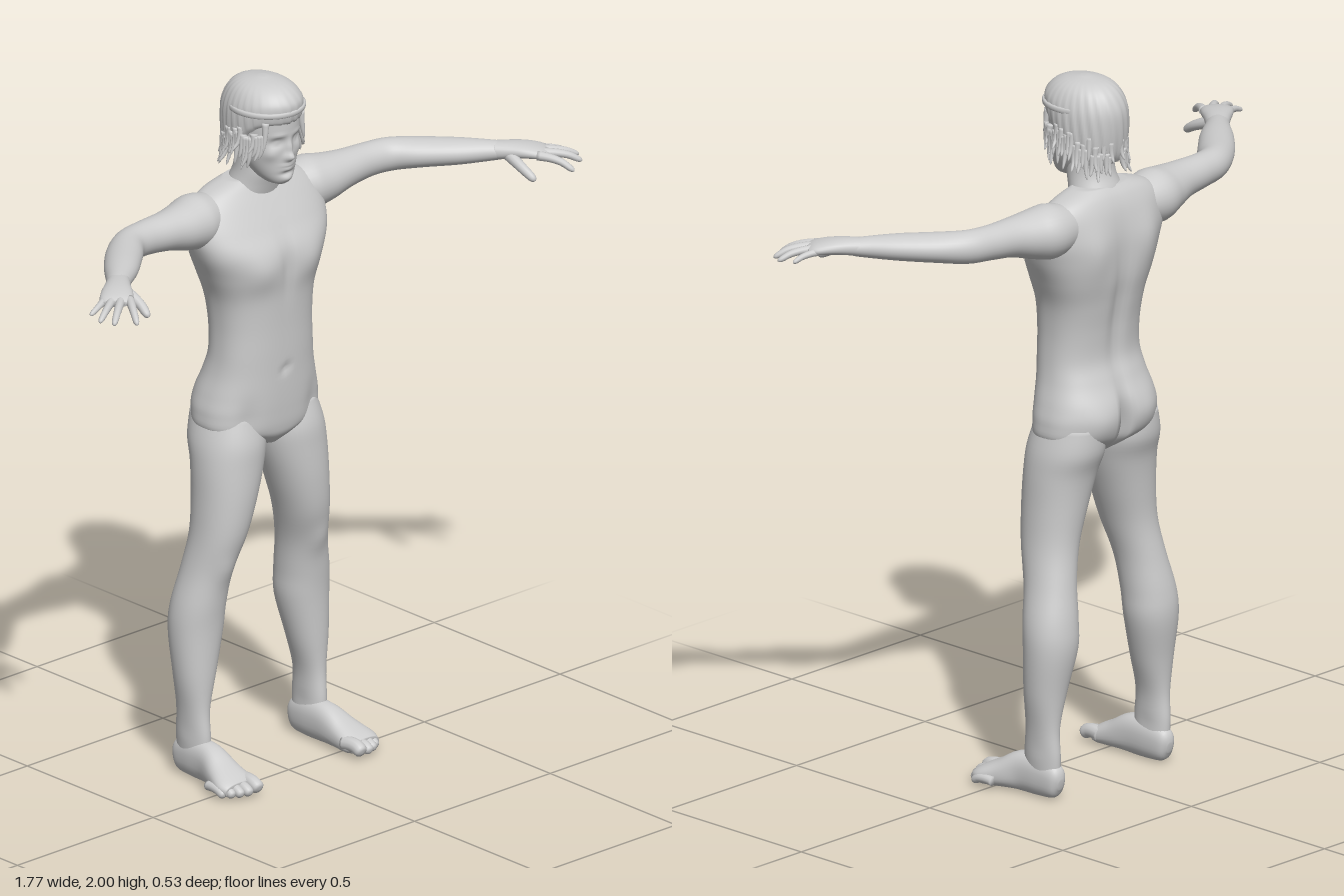
import * as THREE from 'three';

const skin = new THREE.MeshStandardMaterial({ color: 0xcccccc });
skin.name = 'light grey';
const V = (x, y, z) => new THREE.Vector3(x, y, z);
const mix = (a, b, c, d, t) => 0.5 * (2 * b + (c - a) * t + (2 * a - 5 * b + 4 * c - d) * t * t + (3 * b - a - 3 * c + d) * t ** 3);

// Soft swellings and hollows [x,y,z, spread x,y,z, push x,y,z]; those off the middle are mirrored
function bump(p, list) {
  const add = V(0, 0, 0);
  for (const [x, y, z, sx, sy, sz, dx, dy, dz] of list) for (const s of x ? [1, -1] : [1]) {
    const f = Math.exp(-(((p.x - s * x) / sx) ** 2 + ((p.y - y) / sy) ** 2 + ((p.z - z) / sz) ** 2));
    add.add(V(s * dx * f, dy * f, dz * f));
  }
  return p.add(add);
}

// Smooth closed skin over cross-sections [x, y, z, half width, half height].
// level: horizontal sections going up; otherwise sections lie across the path.
function loft(rows, { seg = 24, steps = 5, e = 1, level = false, deform = null } = {}) {
  const at = (i) => rows[Math.max(0, Math.min(rows.length - 1, i))];
  const rings = [];
  for (let k = 0; k <= (rows.length - 1) * steps; k++) {
    const i = Math.floor(k / steps), t = (k % steps) / steps;
    rings.push(at(i).map((_, c) => mix(at(i - 1)[c], at(i)[c], at(i + 1)[c], at(i + 2)[c], t)));
  }
  const pos = [], idx = [], n = rings.length;
  const put = (p) => { if (deform) deform(p); pos.push(p.x, p.y, p.z); };
  const pw = (c) => Math.sign(c) * Math.abs(c) ** e;
  rings.forEach((r, k) => {
    const a = rings[Math.max(0, k - 1)], b = rings[Math.min(n - 1, k + 1)];
    let u = V(1, 0, 0), v = V(0, 0, -1);
    if (!level) {
      const t = V(b[0] - a[0], b[1] - a[1], b[2] - a[2]).normalize();
      u = V(0, 1, 0).cross(t).normalize();
      v = t.clone().cross(u);
    }
    for (let j = 0; j < seg; j++) {
      const w = (j / seg) * Math.PI * 2;
      put(V(r[0], r[1], r[2]).addScaledVector(u, r[3] * pw(Math.cos(w))).addScaledVector(v, r[4] * pw(Math.sin(w))));
      if (k < n - 1) {
        const p = k * seg + j, q = k * seg + (j + 1) % seg;
        idx.push(p, q, q + seg, p, q + seg, p + seg);
      }
    }
  });
  const c0 = n * seg, last = (n - 1) * seg;
  put(V(...rings[0].slice(0, 3)));
  put(V(...rings[n - 1].slice(0, 3)));
  for (let j = 0; j < seg; j++) {
    const q = (j + 1) % seg;
    idx.push(c0, q, j, c0 + 1, last + j, last + q);
  }
  const g = new THREE.BufferGeometry();
  g.setAttribute('position', new THREE.Float32BufferAttribute(pos, 3));
  g.setIndex(idx);
  g.computeVertexNormals();
  return g;
}

// Level sections from edges
const centred = (rows) => rows.map(([y, w, f, b]) => [0, y, (f + b) / 2, w, (f - b) / 2]);
const sided = (rows) => rows.map(([y, i, o, f, b]) => [(i + o) / 2, y, (f + b) / 2, (o - i) / 2, (f - b) / 2]);

// Tapered digit with a rounded tip
function digit(points, r0, r1) {
  const c = new THREE.CatmullRomCurve3(points.map((p) => V(...p)));
  return loft([[0, 1], [0.3, 0.97], [0.6, 0.95], [0.85, 0.9], [0.96, 0.62], [1, 0.1]].map(([t, k]) => {
    const p = c.getPoint(t), r = (r0 + (r1 - r0) * t) * k;
    return [p.x, p.y, p.z, r, r];
  }), { seg: 12, steps: 3 });
}

export function createModel() {
  const model = new THREE.Group();
  const add = (name, g) => {
    const m = new THREE.Mesh(g, skin);
    m.name = name;
    model.add(m);
  };
  const pair = (name, g) => {
    add('left' + name, g);
    const h = g.clone().scale(-1, 1, 1), ix = h.index.array;
    for (let i = 0; i < ix.length; i += 3) [ix[i], ix[i + 1]] = [ix[i + 1], ix[i]];
    h.computeVertexNormals();
    add('right' + name, h);
  };

  // Torso with chest, shoulder blades, spine groove and seat
  const torsoForm = [
    [0.09, 1.47, 0, 0.06, 0.05, 0.08, 0, 0, 0.012], [0, 1.48, 0, 0.018, 0.08, 0.07, 0, 0, -0.009],
    [0, 1.36, -0.24, 0.025, 0.2, 0.06, 0, 0, 0.016], [0.1, 1.54, -0.25, 0.05, 0.08, 0.06, 0, 0, -0.014],
    [0, 1.03, -0.26, 0.014, 0.08, 0.06, 0, 0, 0.045], [0.09, 1.05, -0.26, 0.06, 0.06, 0.06, 0, 0, -0.012],
    [0, 1.17, -0.01, 0.012, 0.014, 0.03, 0, 0, -0.008], [0.12, 1.03, -0.02, 0.03, 0.06, 0.05, 0, 0, -0.008],
  ];
  add('torso', loft(centred([
    [0.94, 0.03, -0.06, -0.17], [0.97, 0.1, -0.03, -0.215], [1.0, 0.185, -0.02, -0.245], [1.05, 0.193, -0.015, -0.258],
    [1.1, 0.182, -0.012, -0.255], [1.16, 0.165, -0.01, -0.234], [1.22, 0.156, -0.008, -0.217], [1.3, 0.153, -0.006, -0.222],
    [1.38, 0.161, -0.002, -0.236], [1.45, 0.186, 0.003, -0.248], [1.52, 0.216, 0, -0.25], [1.58, 0.23, -0.03, -0.247],
    [1.64, 0.215, -0.065, -0.236], [1.68, 0.165, -0.09, -0.22], [1.705, 0.085, -0.105, -0.2],
  ]), { seg: 80, steps: 6, e: 0.84, level: true, deform: (p) => bump(p, torsoForm) }));
  add('neck', loft(centred([
    [1.63, 0.1, -0.09, -0.225], [1.69, 0.077, -0.07, -0.208], [1.74, 0.065, -0.055, -0.19], [1.81, 0.062, -0.06, -0.185],
  ]), { level: true, seg: 32 }));

  // Legs
  const legForm = [[0.172, 0.61, -0.06, 0.035, 0.04, 0.04, 0, 0, 0.008], [0.215, 0.11, -0.15, 0.06, 0.025, 0.03, 0.003, 0, 0]];
  pair('Leg', loft(sided([
    [0.05, 0.18, 0.243, -0.09, -0.205], [0.12, 0.182, 0.245, -0.088, -0.208], [0.2, 0.178, 0.25, -0.095, -0.203],
    [0.3, 0.15, 0.264, -0.092, -0.212], [0.42, 0.12, 0.271, -0.088, -0.232], [0.5, 0.115, 0.265, -0.08, -0.229],
    [0.6, 0.106, 0.241, -0.064, -0.212], [0.7, 0.08, 0.225, -0.034, -0.2], [0.8, 0.048, 0.218, -0.022, -0.206],
    [0.9, 0.018, 0.214, -0.02, -0.22], [0.97, 0.008, 0.206, -0.022, -0.243], [1.04, 0.025, 0.185, -0.04, -0.245],
  ]), { seg: 40, e: 0.95, level: true, deform: (p) => bump(p, legForm) }));

  // Feet and toes
  pair('Foot', loft([
    [0.212, 0.045, -0.215, 0.01, 0.014], [0.212, 0.048, -0.2, 0.028, 0.044], [0.212, 0.056, -0.15, 0.036, 0.056],
    [0.214, 0.056, -0.08, 0.04, 0.056], [0.222, 0.041, -0.02, 0.051, 0.041], [0.229, 0.029, 0.03, 0.06, 0.029],
    [0.23, 0.024, 0.055, 0.05, 0.02],
  ], { seg: 32, e: 0.85, deform: (p) => { p.y = Math.max(0, p.y); } }));
  [[0.19, 0.09, 0.021], [0.221, 0.088, 0.016], [0.244, 0.079, 0.015], [0.264, 0.066, 0.0145], [0.281, 0.048, 0.0135]].forEach(([x, z, r], i) =>
    pair('Toe' + (i + 1), digit([[x - 0.004, r + 0.012, z - 0.07], [x, r + 0.014, z - 0.03], [x, r, z]], r, r)));

  // Arms, bent forward at the elbow
  pair('Arm', loft([
    [0.13, 1.615, -0.16, 0.06, 0.06], [0.2, 1.614, -0.155, 0.078, 0.076], [0.26, 1.617, -0.145, 0.07, 0.067],
    [0.33, 1.624, -0.138, 0.055, 0.054], [0.41, 1.628, -0.134, 0.046, 0.048], [0.48, 1.63, -0.118, 0.046, 0.046],
    [0.545, 1.633, -0.067, 0.051, 0.041], [0.62, 1.636, 0.003, 0.047, 0.036], [0.68, 1.638, 0.058, 0.035, 0.029],
    [0.71, 1.639, 0.086, 0.032, 0.024],
  ], { seg: 32 }));

  // Hands with spread fingers, palm down
  pair('Palm', loft([
    [0.69, 1.639, 0.068, 0.031, 0.025], [0.725, 1.642, 0.102, 0.037, 0.023], [0.755, 1.642, 0.132, 0.044, 0.02],
    [0.782, 1.638, 0.158, 0.045, 0.016], [0.797, 1.635, 0.172, 0.034, 0.009],
  ], { seg: 28, e: 0.9 }));
  [
    ['Thumb', [[0.71, 1.632, 0.11], [0.706, 1.612, 0.165], [0.713, 1.585, 0.212]], 0.018],
    ['IndexFinger', [[0.752, 1.638, 0.178], [0.783, 1.63, 0.226], [0.806, 1.604, 0.267]], 0.0135],
    ['MiddleFinger', [[0.773, 1.638, 0.167], [0.822, 1.633, 0.207], [0.863, 1.61, 0.236]], 0.0135],
    ['RingFinger', [[0.79, 1.638, 0.151], [0.84, 1.632, 0.181], [0.883, 1.613, 0.201]], 0.0125],
    ['LittleFinger', [[0.798, 1.636, 0.13], [0.836, 1.63, 0.146], [0.873, 1.617, 0.153]], 0.011],
  ].forEach(([name, pts, r]) => pair(name, digit(pts, r, r * 0.68)));

  // Head: brow, eye sockets, nose, cheeks, lips and chin
  const faceForm = [
    [0, 1.792, 0, 0.014, 0.012, 0.04, 0, 0, 0.019], [0, 1.818, 0, 0.009, 0.022, 0.04, 0, 0, 0.011],
    [0.034, 1.838, -0.01, 0.018, 0.012, 0.04, 0, 0, -0.011], [0.034, 1.837, -0.01, 0.01, 0.006, 0.03, 0, 0, 0.006],
    [0.032, 1.858, -0.01, 0.022, 0.007, 0.03, 0, 0, 0.004], [0, 1.769, 0, 0.02, 0.005, 0.03, 0, 0, 0.007],
    [0, 1.757, 0, 0.017, 0.005, 0.03, 0, 0, 0.007], [0, 1.743, 0, 0.025, 0.006, 0.03, 0, 0, -0.005],
    [0, 1.726, 0, 0.02, 0.01, 0.03, 0, 0, 0.006], [0.05, 1.805, -0.02, 0.02, 0.018, 0.03, 0.003, 0, 0.005],
  ];
  add('head', loft(centred([
    [1.708, 0.018, -0.018, -0.06], [1.717, 0.036, -0.008, -0.09], [1.74, 0.055, -0.002, -0.13], [1.78, 0.072, 0, -0.165],
    [1.83, 0.083, 0.002, -0.195], [1.88, 0.089, 0.006, -0.21], [1.93, 0.088, 0.002, -0.208], [1.97, 0.064, -0.03, -0.17],
    [1.985, 0.03, -0.07, -0.13],
  ]), { seg: 112, steps: 9, e: 0.95, level: true, deform: (p) => bump(p, faceForm) }));
  pair('Ear', new THREE.SphereGeometry(1, 16, 12).scale(0.012, 0.03, 0.018).rotateY(-0.3).translate(0.088, 1.825, -0.095));

  // Hair cap, high on the forehead and low at the nape
  const nape = (p) => {
    const s = THREE.MathUtils.smoothstep(-p.z, 0.01, 0.19), t = Math.min(1.1, (2 - p.y) / 0.11);
    p.y -= t * t * s * 0.12;
    const r = 0.0025 * Math.sin(Math.atan2(p.x, p.z + 0.105) * 26 + p.y * 30) * t;
    p.x += r * Math.sign(p.x);
    p.z -= r;
  };
  add('hair', loft(centred([
    [1.89, 0.09, 0.005, -0.205], [1.9, 0.099, 0.013, -0.22], [1.925, 0.102, 0.018, -0.23], [1.95, 0.096, 0.016, -0.228],
    [1.975, 0.077, -0.005, -0.205], [1.991, 0.05, -0.038, -0.17], [2.0, 0.012, -0.09, -0.115],
  ]), { seg: 112, steps: 6, level: true, deform: nape }));
  add('headband', loft(centred([[1.914, 0.1, 0.016, -0.2], [1.917, 0.104, 0.021, -0.2], [1.927, 0.104, 0.022, -0.2], [1.93, 0.1, 0.018, -0.2]]),
    { seg: 64, steps: 2, level: true }));

  // Loose locks at the temples, over the ears and along the nape
  let seed = 7;
  const rnd = () => (seed = (seed * 16807) % 2147483647) / 2147483647;
  for (let i = 0; i < 30; i++) {
    const a = 0.75 + (i / 29) * 2.2, sx = Math.sin(a), cz = Math.cos(a);
    const y = 1.9 - 0.05 * rnd() - 0.06 * Math.max(0, -cz), len = 0.05 + 0.05 * rnd() * sx, out = 0.012 + 0.016 * rnd();
    const x = 0.094 * sx, z = -0.105 + 0.112 * cz;
    pair('Lock' + (i + 1), digit([[x, y, z], [x + sx * 0.008, y - len * 0.6, z + cz * 0.004], [x + sx * out, y - len, z + cz * 0.006 - 0.01 * rnd()]], 0.011, 0.003));
  }
  return model;
}
